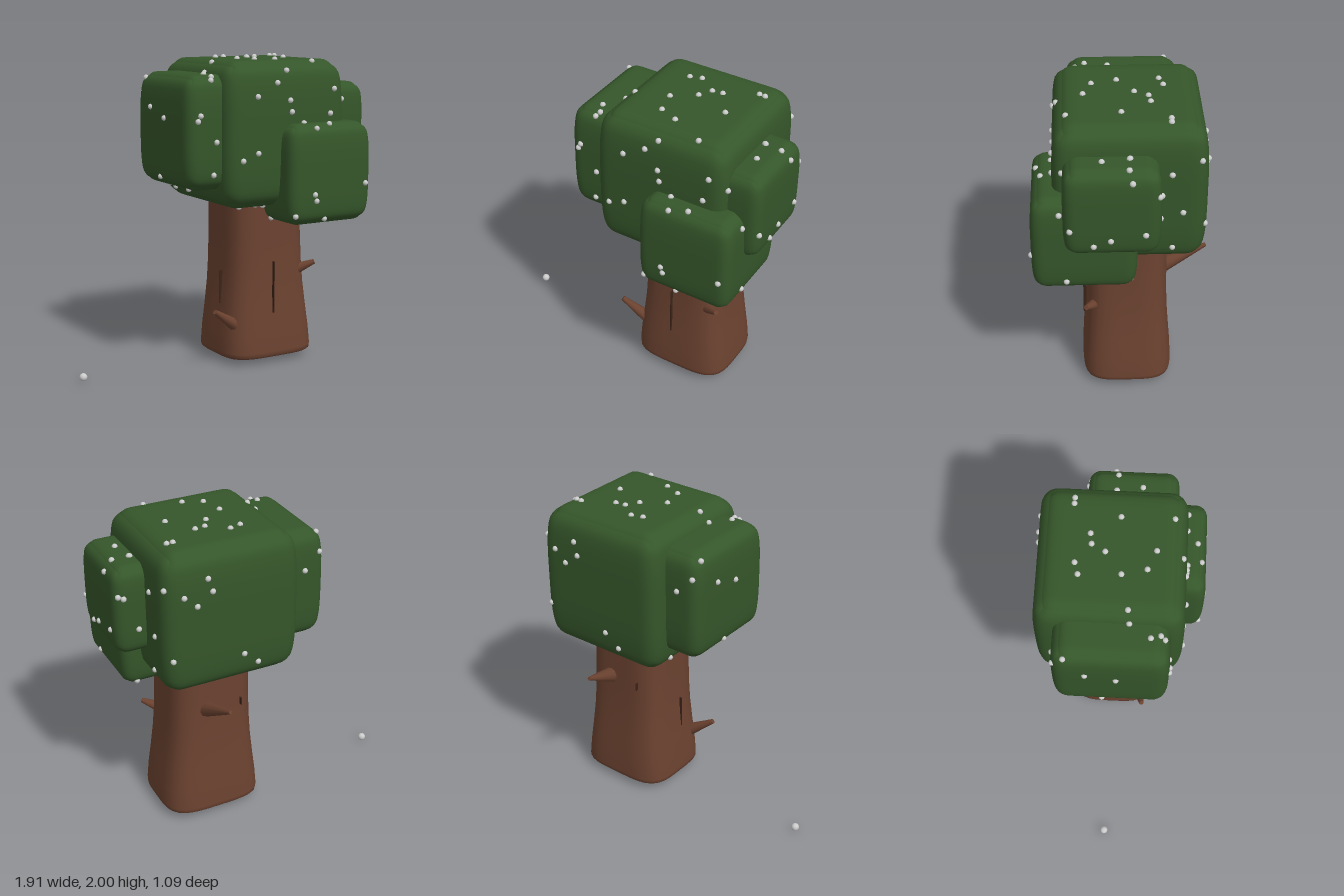
import * as THREE from 'three';
import { mergeVertices } from 'three/addons/utils/BufferGeometryUtils.js';

const V = (x, y, z) => new THREE.Vector3(x, y, z);
const mat = (color) => new THREE.MeshStandardMaterial({ color, roughness: 0.9 });

// Moves every vertex by a rule, then welds and smooths
function warp(geometry, rule) {
  const pos = geometry.attributes.position;
  const p = V(0, 0, 0);
  for (let i = 0; i < pos.count; i++) {
    rule(p.fromBufferAttribute(pos, i));
    pos.setXYZ(i, p.x, p.y, p.z);
  }
  geometry.deleteAttribute('uv');
  geometry.deleteAttribute('normal');
  const welded = mergeVertices(geometry, 1e-5);
  welded.computeVertexNormals();
  return welded;
}

// Leaf blocks: limits on each axis, edge radius and number of berries
const blocks = {
  main: { min: V(-0.15, 1.065, -0.5), max: V(0.74, 1.98, 0.4), r: 0.1, berries: 40 },
  right: { min: V(-0.38, 1.19, -0.38), max: V(0.3, 1.9, 0.32), r: 0.08, berries: 16 },
  left: { min: V(0.37, 1.26, -0.22), max: V(0.93, 1.83, 0.34), r: 0.07, berries: 12 },
  front: { min: V(0.23, 0.955, -0.09), max: V(0.85, 1.59, 0.53), r: 0.07, berries: 18 },
};

// Takes a point on the cube of half size 1 to the rounded, slightly bulging block
function toBlock(p, { min, max, r }) {
  const half = max.clone().sub(min).multiplyScalar(0.5);
  const t = p.y;
  p.multiply(half);
  const inner = half.clone().subScalar(r);
  const core = p.clone().clamp(inner.clone().negate(), inner);
  p.sub(core).setLength(r).add(core);
  const pinch = 1 - 0.09 * t ** 4;
  p.x *= pinch;
  p.z *= pinch;
  return p.add(min.clone().add(max).multiplyScalar(0.5));
}

function leafBlock(block) {
  return warp(new THREE.BoxGeometry(2, 2, 2, 26, 26, 26), (p) => {
    // Crowd the grid towards the edges
    for (const k of ['x', 'y', 'z']) p[k] = Math.sin((p[k] * Math.PI) / 2);
    toBlock(p, block);
  });
}

// Trunk: flared profile with a squarish cross-section
function trunkGeometry() {
  const profile = [
    [0, 0.04], [0.29, 0.04], [0.312, 0.043], [0.326, 0.055], [0.328, 0.08], [0.318, 0.2],
    [0.3, 0.35], [0.284, 0.5], [0.274, 0.65], [0.267, 0.85], [0.264, 1.07], [0.262, 1.3], [0, 1.3],
  ].map(([r, y]) => new THREE.Vector2(r, y));
  return warp(new THREE.LatheGeometry(profile, 48), (p) => {
    const r = Math.hypot(p.x, p.z);
    if (r > 1e-6) {
      const c = p.x / r, s = p.z / r;
      const k = r / (c ** 4 + s ** 4) ** 0.25;
      p.x = c * k;
      p.z = s * k;
    }
    const t = Math.min(p.y / 1.07, 1);
    p.x += 0.33 - 0.016 * t;
    p.z = p.z * (0.86 + 0.08 * t) - 0.046;
  });
}

// Broken branch tapering from base to tip
function branchGeometry(base, tip, r0, r1) {
  const d = tip.clone().sub(base);
  const g = new THREE.CylinderGeometry(r1, r0, d.length(), 10);
  g.applyQuaternion(new THREE.Quaternion().setFromUnitVectors(V(0, 1, 0), d.normalize()));
  const mid = base.clone().add(tip).multiplyScalar(0.5);
  return g.translate(mid.x, mid.y, mid.z);
}

// Seeded random numbers from 0 to 1
function seeded(seed) {
  return () => {
    seed = (seed * 16807) % 2147483647;
    return seed / 2147483647;
  };
}

// Random point on a block's surface that lies outside all the other blocks
function berrySpot(block, random) {
  const others = Object.values(blocks).filter((b) => b !== block);
  let p;
  do {
    p = V(0, 0, 0);
    for (const k of ['x', 'y', 'z']) p[k] = 1.9 * random() - 0.95;
    p['xyz'[Math.floor(random() * 3)]] = random() < 0.4 ? -1 : 1;
    toBlock(p, block);
  } while (others.some((b) => new THREE.Box3(b.min, b.max).containsPoint(p)));
  return p;
}

export function createModel() {
  const model = new THREE.Group();
  const bark = mat(0x6b4230), leaf = mat(0x35562a), grey = mat(0xcccccc), dark = mat(0x3a2318);
  const add = (name, geometry, material, parent = model) => {
    const mesh = new THREE.Mesh(geometry, material);
    mesh.name = name;
    parent.add(mesh);
    return mesh;
  };

  add('trunk', trunkGeometry(), bark);

  // Branches
  add('rightBranch', branchGeometry(V(0.06, 0.27, 0.13), V(-0.11, 0.385, 0.17), 0.042, 0.016), bark);
  add('leftBranch', branchGeometry(V(0.5, 0.585, 0.14), V(0.625, 0.645, 0.215), 0.042, 0.016), bark);
  add('backBranch', branchGeometry(V(0.39, 0.79, -0.26), V(0.35, 0.91, -0.54), 0.055, 0.012), bark);

  // Thin cracks in the bark
  add('frontCrack', new THREE.BoxGeometry(0.006, 0.34, 0.02), dark).position.set(0.3, 0.51, 0.222);
  add('rightCrack', new THREE.BoxGeometry(0.02, 0.22, 0.006), dark).position.set(0.035, 0.5, 0);
  add('backCrack', new THREE.BoxGeometry(0.006, 0.05, 0.02), dark).position.set(0.16, 0.8, -0.3);

  // Foliage, with berries scattered over each block
  const foliage = new THREE.Group();
  foliage.name = 'foliage';
  const berries = new THREE.Group();
  berries.name = 'berries';
  model.add(foliage, berries);
  const ball = new THREE.SphereGeometry(0.018, 12, 8);
  const random = seeded(4217);
  for (const [key, block] of Object.entries(blocks)) {
    add(key + 'LeafBlock', leafBlock(block), leaf, foliage);
    for (let i = 0; i < block.berries; i++) {
      add('berry', ball, grey, berries).position.copy(berrySpot(block, random));
    }
  }

  // Fallen berry on the ground
  add('fallenBerry', new THREE.SphereGeometry(0.025, 16, 12), grey, berries).position.set(-0.935, 0.027, -0.05);

  return model;
}
